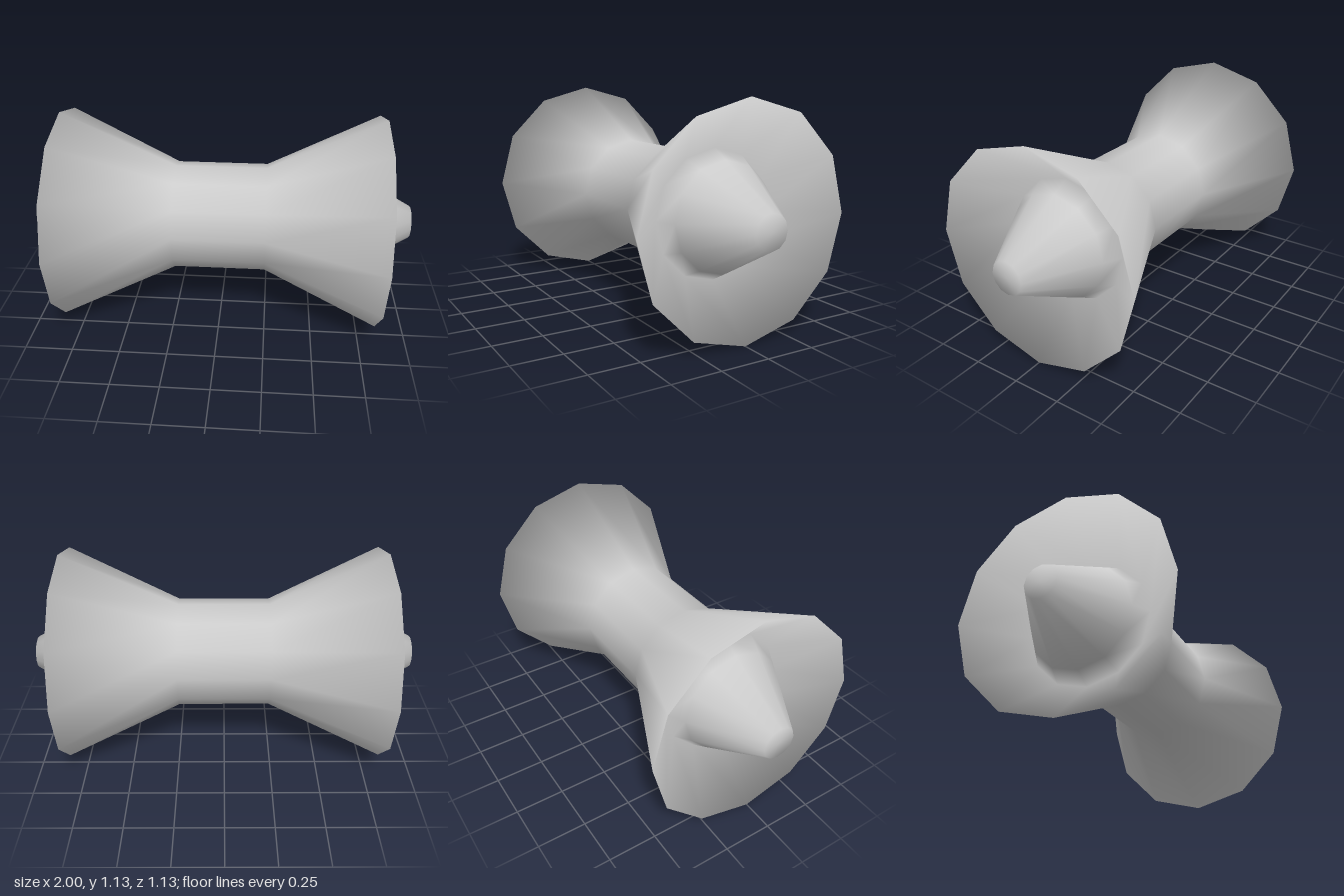
import * as THREE from 'three';

const SIDES = 12;

// Half profile as [distance along the axis, radius], from the waist to the tip
const HALF = [
  [0.24, 0.286],  // waist
  [0.837, 0.565], // flared rim
  [0.57, 0.32],   // bottom of the recess, foot of the end cone
  [0.66, 0.272],  // ring on the end cone
  [1, 0.085],     // blunt tip
  [1, 0],
];

// Unit normal of each profile point: the even average of its two neighbouring segments
function profileNormals(points) {
  const segments = points.slice(1).map((p, i) =>
    new THREE.Vector2(p.y - points[i].y, points[i].x - p.x).normalize());
  return points.map((p, i) => {
    const before = segments[Math.max(i - 1, 0)];
    const after = segments[Math.min(i, segments.length - 1)];
    return before.clone().add(after).normalize();
  });
}

// Lathe about the x axis, smooth across every ring
function smoothLathe(points) {
  const geometry = new THREE.LatheGeometry(points, SIDES);
  const normals = profileNormals(points);
  for (let i = 0; i <= SIDES; i++) {
    const angle = (i / SIDES) * Math.PI * 2;
    normals.forEach((n, j) => geometry.attributes.normal.setXYZ(
      i * points.length + j, n.x * Math.sin(angle), n.y, n.x * Math.cos(angle)));
  }
  return geometry.rotateZ(-Math.PI / 2);
}

export function createModel() {
  const group = new THREE.Group();
  group.name = 'spool';

  // Closed body: waist, two flared ends, and a cone rising from the recess of each
  const mirrored = HALF.map(([a, r]) => [-a, r]).reverse();
  const profile = [...mirrored, ...HALF].map(([a, r]) => new THREE.Vector2(r, a));
  const body = new THREE.Mesh(
    smoothLathe(profile), new THREE.MeshStandardMaterial({ color: 0xcccccc }));
  body.name = 'flaredBodyWithEndCones';
  body.position.y = 0.565;
  group.add(body);
  return group;
}
